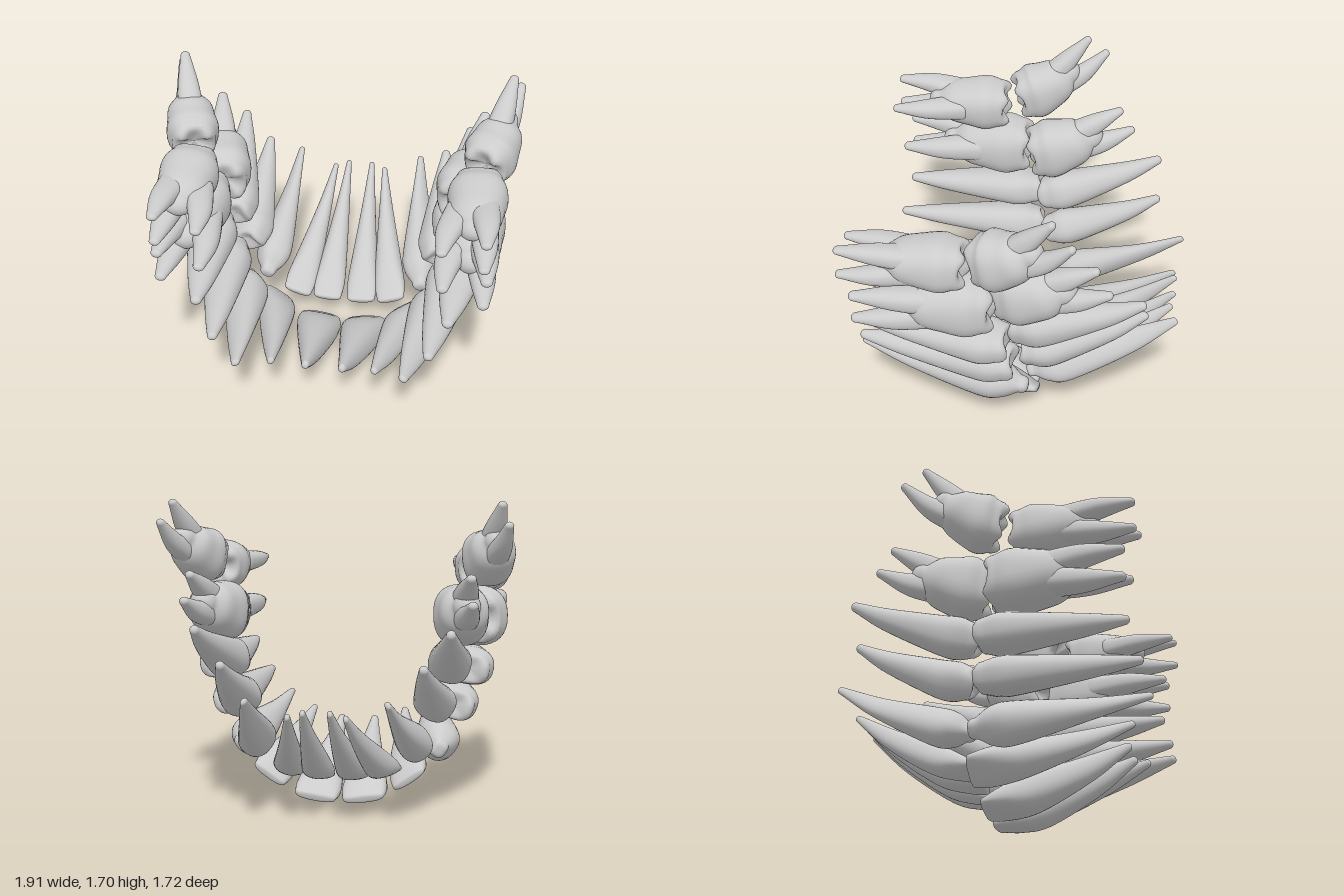
import * as THREE from 'three';

const SEG = 32, ROWS = 20, CAP = 7;

// Tooth kinds: body profile as [position along axis, width, depth] and biting surface
const INCISOR = { profile: [[0, .92, .3], [.12, 1, .68], [.32, .85, 1], [.7, .47, .72], [1, .17, .25]], top: {} };
const CANINE = { profile: [[0, .5, .4], [.1, .95, .83], [.24, 1, 1], [.68, .48, .64], [1, .18, .21]], top: {} };
const PREMOLAR = {
  profile: [[0, .82, .82], [.11, 1, 1], [.26, .95, .95], [.72, .55, .56], [1, .24, .22]],
  top: { height: .05, fossa: .04, cusp: .03, pairs: 1 },
};
const MOLAR = {
  profile: [[0, .87, .85], [.13, 1, 1], [.31, .9, .93], [.48, .75, .83], [.6, .45, .5]],
  top: { height: .065, fossa: .06, cusp: .035, pairs: 2 },
};
const ROOT_PROFILE = [[.38, .42, .5], [.7, .34, .4], [1, .14, .18]];
const KINDS = [INCISOR, INCISOR, CANINE, PREMOLAR, PREMOLAR, MOLAR, MOLAR];
const NAMES = ['CentralIncisor', 'LateralIncisor', 'Canine', 'FirstPremolar', 'SecondPremolar', 'FirstMolar', 'SecondMolar'];

// Left half of each arch, front to back: crown, root tip, half width, half depth, roll in degrees.
// Molar roots splay sideways from the axis by [along the arch, across the arch].
const ARCHES = {
  upper: {
    teeth: [
      [.135, .065, -.07, .1, .36, .67, .128, .1, 8],
      [.39, .185, -.09, .28, .41, .72, .112, .09, 35],
      [.55, .35, -.03, .445, .485, .84, .11, .12, 55],
      [.635, .585, .03, .568, .63, .81, .103, .128, 72],
      [.71, .785, .05, .655, .82, .76, .104, .135, 82],
      [.735, 1.06, .13, .76, 1.055, .78, .168, .168, 92],
      [.755, 1.32, .26, .75, 1.325, .84, .142, .155, 95],
    ],
    splay: [[.065, -.08], [-.085, -.065], [.015, .14]],
  },
  lower: {
    teeth: [
      [.1, .205, -.11, .07, .675, -.82, .088, .078, 4],
      [.275, .23, -.11, .15, .65, -.81, .088, .08, 15],
      [.445, .375, -.1, .365, .73, -.84, .09, .108, 35],
      [.54, .61, -.08, .525, .885, -.68, .104, .112, 60],
      [.605, .82, -.04, .66, 1.065, -.67, .11, .115, 75],
      [.65, 1.08, .02, .75, 1.26, -.47, .168, .15, 90],
      [.78, 1.38, .11, .907, 1.645, -.28, .155, .14, 92],
    ],
    splay: [[.075, 0], [-.075, 0]],
  },
};

// Width and depth directions of a section, square to the axis
function sectionFrame(T, roll) {
  const U = new THREE.Vector3(Math.cos(roll), Math.sin(roll), 0);
  U.addScaledVector(T, -U.dot(T)).normalize();
  return { U, V: T.clone().cross(U) };
}

// Lofts rounded sections { p, w, d } from the biting end to the root tip
function loft(rows, roll, { height, fossa = 0, cusp = 0, pairs = 1 }) {
  const axis = new THREE.CatmullRomCurve3(rows.map(r => r.p), false, 'catmullrom');
  const size = new THREE.CatmullRomCurve3(rows.map(r => new THREE.Vector3(r.w, r.d, 0)), false, 'catmullrom');
  const pos = [], index = [];

  const ring = (t, scale, lift) => {
    const c = axis.getPoint(t), T = axis.getTangent(t), s = size.getPoint(t);
    const { U, V } = sectionFrame(T, roll);
    const power = .76 + .24 * t;
    for (let j = 0; j < SEG; j++) {
      const a = (j / SEG) * Math.PI * 2, cs = Math.cos(a), sn = Math.sin(a);
      const p = c.clone()
        .addScaledVector(U, Math.sign(cs) * Math.abs(cs) ** power * s.x * scale)
        .addScaledVector(V, Math.sign(sn) * Math.abs(sn) ** power * s.y * scale)
        .addScaledVector(T, lift(a));
      pos.push(p.x, p.y, p.z);
    }
  };

  const first = rows[0], last = rows[rows.length - 1];
  const topHeight = height ?? Math.min(first.w, first.d);
  const tipHeight = Math.min(last.w, last.d);
  // biting surface from its centre outwards, with fossa and cusps
  for (let k = 0; k < CAP; k++) {
    const s = Math.max(.002, Math.sin((k / CAP) * Math.PI / 2));
    const dome = topHeight * Math.sqrt(1 - s ** 4) - fossa * (1 - s * s);
    const bump = 4 * s * s * (1 - s * s) * cusp;
    ring(0, s, a => -dome - bump * Math.sin(pairs * a) ** 2);
  }
  for (let i = 0; i <= ROWS; i++) ring(i / ROWS, 1, () => 0);
  // rounded tip
  for (let k = 1; k <= CAP; k++) {
    const s = Math.max(.002, Math.cos((k / CAP) * Math.PI / 2));
    ring(1, s, () => tipHeight * Math.sqrt(1 - s * s));
  }

  const rings = pos.length / 3 / SEG;
  for (let i = 0; i < rings - 1; i++) {
    for (let j = 0; j < SEG; j++) {
      const a = i * SEG + j, b = i * SEG + (j + 1) % SEG;
      index.push(a, b, a + SEG, b, b + SEG, a + SEG);
    }
  }
  const g = new THREE.BufferGeometry();
  g.setAttribute('position', new THREE.Float32BufferAttribute(pos, 3));
  g.setIndex(index);
  g.computeVertexNormals();
  return g;
}

// Body of one tooth, plus splayed roots for a molar
function toothParts([x, y, z, tx, ty, tz, width, depth, degrees], kind, splay) {
  const roll = THREE.MathUtils.degToRad(degrees);
  const crown = new THREE.Vector3(x, y, z), tip = new THREE.Vector3(tx, ty, tz);
  // steeper teeth sag more between crown and tip
  const middle = crown.clone().lerp(tip, .5);
  middle.y -= .13 * (ty - y) / Math.abs(tz - z);
  const axis = new THREE.QuadraticBezierCurve3(crown, middle, tip);
  const sections = (profile, offset) => profile.map(([t, w, d]) => {
    const { U, V } = sectionFrame(axis.getTangent(t), roll);
    const spread = Math.sin(t * Math.PI / 2);
    const p = axis.getPoint(t).addScaledVector(U, offset[0] * spread).addScaledVector(V, offset[1] * spread);
    return { p, w: w * width, d: d * depth };
  });
  const parts = [loft(sections(kind.profile, [0, 0]), roll, kind.top)];
  if (kind === MOLAR) parts.push(...splay.map(o => loft(sections(ROOT_PROFILE, o), roll, {})));
  return parts;
}

function mirrored(geometry) {
  const g = geometry.clone().scale(-1, 1, 1);
  const idx = g.index.array;
  for (let i = 0; i < idx.length; i += 3) [idx[i], idx[i + 1]] = [idx[i + 1], idx[i]];
  g.computeVertexNormals();
  return g;
}

export function createModel() {
  const model = new THREE.Group();
  model.name = 'dentalArches';
  const material = new THREE.MeshStandardMaterial({ color: 0xcccccc });

  for (const [archName, { teeth, splay }] of Object.entries(ARCHES)) {
    const arch = new THREE.Group();
    arch.name = archName + 'Arch';
    model.add(arch);
    teeth.forEach((spec, n) => {
      const parts = toothParts(spec, KINDS[n], splay);
      for (const side of ['Left', 'Right']) {
        const tooth = new THREE.Group();
        tooth.name = archName + NAMES[n] + side;
        parts.forEach((g, i) => {
          const mesh = new THREE.Mesh(side === 'Left' ? g : mirrored(g), material);
          mesh.name = i ? 'root' + i : 'crown';
          tooth.add(mesh);
        });
        arch.add(tooth);
      }
    });
  }
  return model;
}
